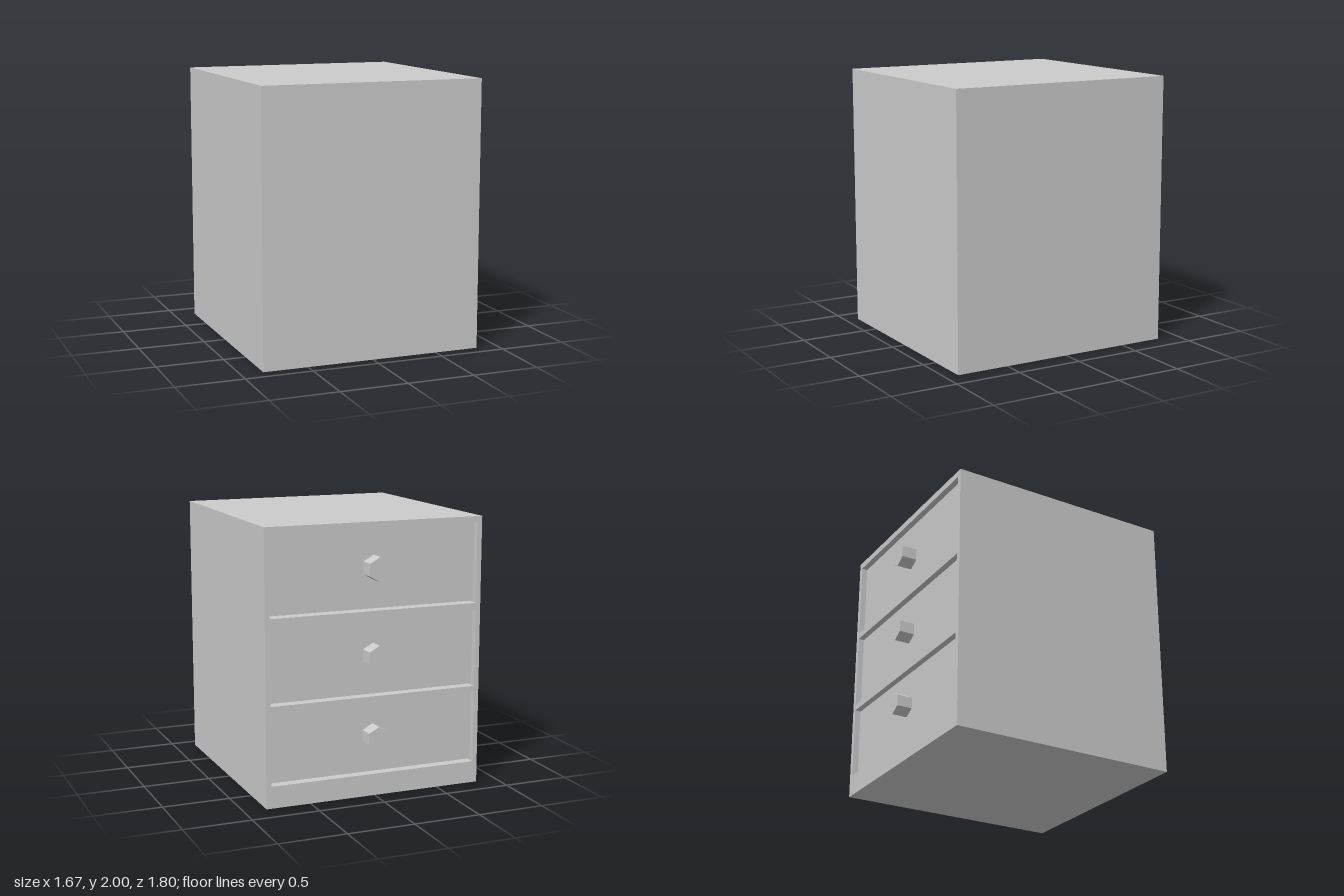
import * as THREE from 'three';

const W = 1.67, H = 2, Z_DRAWERS = -0.83, Z_PLAIN = 0.9;
const OPEN_W = 1.596, BOARD = 0.04, RECESS = 0.045, GAP = 0.01;

// Drawer openings, top to bottom: [bottom, top, knob height, knob radius]
const DRAWERS = [
  [1.365, 1.95, 1.67, 0.09],
  [0.742, 1.315, 1.04, 0.086],
  [0.162, 0.698, 0.447, 0.083],
];

const material = new THREE.MeshStandardMaterial({ color: 0xcccccc, flatShading: true });

function addMesh(parent, name, geometry, x, y, z) {
  const mesh = new THREE.Mesh(geometry, material);
  mesh.name = name;
  mesh.position.set(x, y, z);
  parent.add(mesh);
  return mesh;
}

// Rectangle centred on x = 0, between two heights
function tracePath(path, width, y0, y1) {
  const h = width / 2;
  path.moveTo(-h, y0);
  path.lineTo(h, y0);
  path.lineTo(h, y1);
  path.lineTo(-h, y1);
  path.closePath();
  return path;
}

export function createModel() {
  const model = new THREE.Group();
  model.name = 'bedsideCabinet';

  // Carcass with three drawer openings running through its depth
  const outline = tracePath(new THREE.Shape(), W, 0, H);
  for (const [y0, y1] of DRAWERS) outline.holes.push(tracePath(new THREE.Path(), OPEN_W, y0, y1));
  const depth = Z_PLAIN - BOARD - Z_DRAWERS;
  const carcass = new THREE.ExtrudeGeometry(outline, { depth, bevelEnabled: false });
  addMesh(model, 'carcass', carcass, 0, 0, Z_DRAWERS);

  // Plain board closing the side opposite the drawers
  addMesh(model, 'closingBoard', new THREE.BoxGeometry(W, H, BOARD), 0, H / 2, Z_PLAIN - BOARD / 2);

  // Recessed drawer fronts, each with a six-sided knob
  const face = Z_DRAWERS + RECESS;
  const knobLength = face + 0.9;
  DRAWERS.forEach(([y0, y1, knobY, radius], i) => {
    const drawer = new THREE.Group();
    drawer.name = 'drawer' + (i + 1);
    const height = y1 - y0 - GAP;
    addMesh(drawer, 'drawerFront', new THREE.BoxGeometry(OPEN_W, height, BOARD), 0, y1 - height / 2, face + BOARD / 2);

    const knob = new THREE.CylinderGeometry(0.09, 0.09, knobLength, 6).rotateX(Math.PI / 2);
    addMesh(drawer, 'knob', knob, 0, knobY, face - knobLength / 2).scale.y = radius / 0.09;
    model.add(drawer);
  });

  return model;
}
